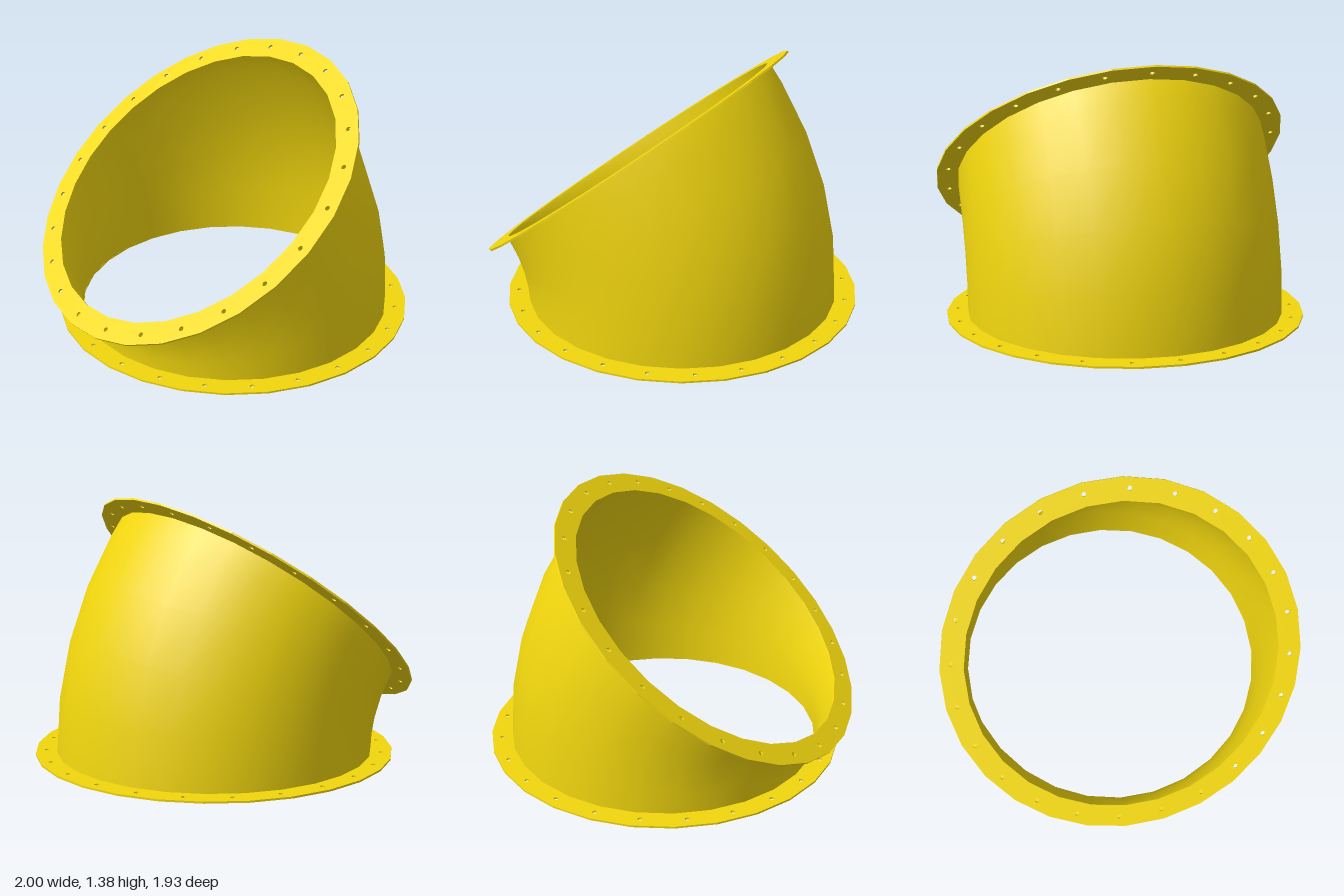
import * as THREE from 'three';

const SIDES = 28, HOLES = 24;
const PIVOT_X = -1.2425, BEND_RADIUS = 1.275;
const BEND = THREE.MathUtils.degToRad(38);
const PIPE_OUTER = 0.853, PIPE_INNER = 0.843;
const FLANGE_RADIUS = 0.967, BOLT_CIRCLE = 0.9075, BOLT_RADIUS = 0.013, THICKNESS = 0.01;

const circle = (radius, sides, cx = 0, cy = 0) =>
  Array.from({ length: sides }, (_, i) => {
    const a = (i / sides) * Math.PI * 2;
    return new THREE.Vector2(cx + radius * Math.cos(a), cy + radius * Math.sin(a));
  });

// Flat ring with a circle of bolt holes, lying on y = 0
function flangeGeometry() {
  const shape = new THREE.Shape(circle(FLANGE_RADIUS, SIDES));
  shape.holes.push(new THREE.Path(circle(PIPE_INNER, SIDES)));
  for (const p of circle(BOLT_CIRCLE, HOLES)) {
    shape.holes.push(new THREE.Path(circle(BOLT_RADIUS, 8, p.x, p.y)));
  }
  return new THREE.ExtrudeGeometry(shape, { depth: THICKNESS, bevelEnabled: false })
    .rotateX(-Math.PI / 2);
}

// Bent pipe wall swept around the pivot; inward flips the faces for the bore
function elbowGeometry(radius, inward) {
  const steps = [0, 8.65, 17.3, 25.95, 34.4, 38].map(THREE.MathUtils.degToRad);
  const positions = [], indices = [];
  steps.forEach((t, j) => {
    for (const p of circle(radius, SIDES)) {
      const d = BEND_RADIUS + p.x;
      positions.push(d * Math.cos(t), d * Math.sin(t), p.y);
    }
    if (j === 0) return;
    for (let i = 0; i < SIDES; i++) {
      const k = (i + 1) % SIDES;
      const a = (j - 1) * SIDES + i, b = (j - 1) * SIDES + k;
      const c = j * SIDES + i, d = j * SIDES + k;
      if (inward) indices.push(a, b, c, b, d, c);
      else indices.push(a, c, b, b, c, d);
    }
  });
  const geometry = new THREE.BufferGeometry();
  geometry.setAttribute('position', new THREE.Float32BufferAttribute(positions, 3));
  geometry.setIndex(indices);
  geometry.computeVertexNormals();
  return geometry;
}

export function createModel() {
  const model = new THREE.Group();
  model.name = 'flangedPipeElbow';
  const material = new THREE.MeshStandardMaterial({ color: 0xf2d70e });
  const add = (parent, name, geometry) => {
    const mesh = new THREE.Mesh(geometry, material);
    mesh.name = name;
    parent.add(mesh);
    return mesh;
  };

  // Everything is laid out around the centre of the bend
  const bend = new THREE.Group();
  bend.name = 'bend';
  bend.position.x = PIVOT_X;
  model.add(bend);

  add(bend, 'elbowOuterWall', elbowGeometry(PIPE_OUTER, false));
  add(bend, 'elbowInnerWall', elbowGeometry(PIPE_INNER, true));

  const flange = flangeGeometry();
  add(bend, 'bottomFlange', flange).position.x = BEND_RADIUS;

  // The same flange turned to the other end of the bend
  const topEnd = new THREE.Group();
  topEnd.name = 'topEnd';
  topEnd.rotation.z = BEND;
  bend.add(topEnd);
  add(topEnd, 'topFlange', flange).position.set(BEND_RADIUS, -THICKNESS, 0);

  return model;
}
